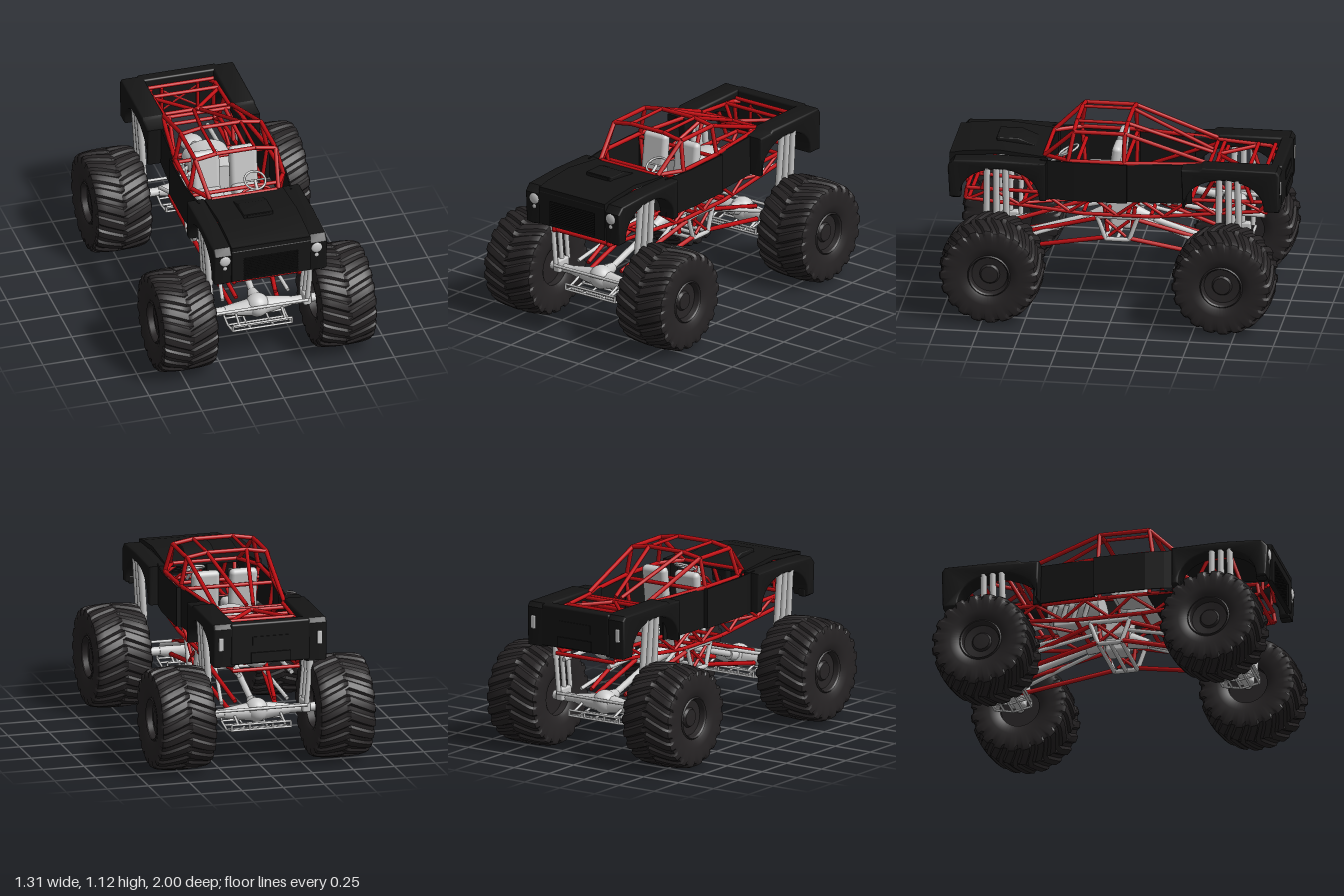
import * as THREE from 'three';
import { toCreasedNormals } from 'three/addons/utils/BufferGeometryUtils.js';
import { RoundedBoxGeometry } from 'three/addons/geometries/RoundedBoxGeometry.js';

const paint = (color) => new THREE.MeshStandardMaterial({ color, side: THREE.DoubleSide });
const BLACK = paint(0x151515), RUBBER = paint(0x272425), RED = paint(0xc00d12), GREY = paint(0xcccccc);
const V = (p) => new THREE.Vector3(...p);

export function createModel() {
  const model = new THREE.Group();
  const add = (name, geo, mat, pos = [0, 0, 0], parent = model) => {
    const m = new THREE.Mesh(geo, mat);
    m.name = name;
    m.position.set(...pos);
    parent.add(m);
    return m;
  };
  const box = (name, size, pos, mat, r = 0) => add(name,
    r ? new RoundedBoxGeometry(...size, 3, r) : new THREE.BoxGeometry(...size), mat, pos);
  // Round bar between two points
  const bar = (name, a, b, r, mat, r2 = r) => {
    const d = V(b).sub(V(a));
    const m = add(name, new THREE.CylinderGeometry(r2, r, d.length(), 10), mat);
    m.position.copy(V(a)).addScaledVector(d, 0.5);
    m.quaternion.setFromUnitVectors(new THREE.Vector3(0, 1, 0), d.normalize());
  };
  const flip = ([x, y, z]) => [-x, y, z];
  // Chain of bars, mirrored to both sides
  const chain = (name, pts, r = 0.012, mat = RED) => {
    for (let i = 1; i < pts.length; i++) {
      bar(name, pts[i - 1], pts[i], r, mat);
      bar(name, flip(pts[i - 1]), flip(pts[i]), r, mat);
    }
  };
  const cross = (name, x, y, z, r = 0.012, mat = RED) => bar(name, [-x, y, z], [x, y, z], r, mat);
  // Side outline of [z, y] points extruded from x0 to x1
  const slab = (name, pts, x0, x1, bevel = 0) => {
    const shape = new THREE.Shape(pts.map(([z, y]) => new THREE.Vector2(-z, y)));
    const geo = new THREE.ExtrudeGeometry(shape, { depth: x1 - x0 - 2 * bevel, bevelEnabled: bevel > 0,
      bevelSize: bevel, bevelOffset: -bevel, bevelThickness: bevel, bevelSegments: 3 });
    geo.translate(0, 0, x0 + bevel).rotateY(Math.PI / 2);
    add(name, toCreasedNormals(geo, 0.6), BLACK);
  };

  // ---- Tyres with chevron lugs, and dished rims
  const half = [[0.145, 0.118], [0.16, 0.14], [0.169, 0.18], [0.17, 0.22], [0.168, 0.25], [0.16, 0.272],
    [0.145, 0.281], [0.115, 0.286], [0.08, 0.289], [0.045, 0.291], [0.012, 0.292]];
  const profile = [...half.map(([a, r]) => [-a, r]), ...half.slice().reverse()];
  const PER = 7, SEG = 20 * PER;
  const tyre = new THREE.LatheGeometry(profile.map(([a, r]) => new THREE.Vector2(r, a)), SEG);
  const pos = tyre.attributes.position;
  for (let j = 0; j <= SEG; j++) profile.forEach(([a, r], i) => {
    const lug = r > 0.24 && (j + (a > 0 ? 3 : 0)) % PER < 4;
    const R = r + (lug ? 0.014 : 0);
    const phi = j / SEG * Math.PI * 2 + 0.24 * Math.abs(a) / 0.17;
    pos.setXYZ(j * profile.length + i, R * Math.sin(phi), a + (lug && r < 0.275 ? Math.sign(a) * 0.003 : 0), R * Math.cos(phi));
  });
  const tyreGeo = toCreasedNormals(tyre.rotateZ(Math.PI / 2), 0.5);
  const rimGeo = toCreasedNormals(new THREE.LatheGeometry([[0, -0.1], [0.12, -0.1], [0.128, -0.15], [0.128, 0.15], [0.12, 0.158],
    [0.112, 0.15], [0.105, 0.12], [0.06, 0.115], [0.05, 0.13], [0, 0.132]].map((p) => new THREE.Vector2(...p)), 40)
    .rotateZ(-Math.PI / 2), 0.5);
  for (const z of [0.7, -0.675]) for (const s of [1, -1]) {
    add('tyre', tyreGeo, RUBBER, [s * 0.483, 0.308, z]);
    add('rim', rimGeo, RUBBER, [s * 0.483, 0.308, z]).rotation.y = s > 0 ? 0 : Math.PI;
  }

  // ---- Axles, shocks, links and skid frames, front and rear
  for (const [az, s] of [[0.7, 1], [-0.675, -1]]) {
    cross('axleTube', 0.36, 0.31, az, 0.027, GREY);
    for (const k of [1, -1]) {
      bar('axleHousing', [k * 0.04, 0.31, az], [k * 0.2, 0.31, az], 0.055, GREY, 0.03);
      box('knuckle', [0.05, 0.08, 0.1], [k * 0.295, 0.33, az], GREY, 0.012);
    }
    add('differential', new THREE.SphereGeometry(0.072, 24, 16), GREY, [0, 0.318, az]);
    bar('pinion', [0, 0.33, az], [0, 0.345, az - s * 0.11], 0.055, GREY, 0.03);
    cross('steeringRod', 0.29, 0.345, az + s * 0.075, 0.009, GREY);
    bar('driveshaft', [0, 0.345, az - s * 0.1], [0, 0.5, s * 0.1], 0.02, GREY);
    bar('driveshaftJoint', [0, 0.47, s * 0.19], [0, 0.505, s * 0.08], 0.03, GREY, 0.05);
    for (const dz of [-0.06, 0, 0.06]) {
      chain('shockBody', [[0.29, 0.35, az + dz], [0.312, 0.6, az + dz]], 0.015, GREY);
      chain('shockSleeve', [[0.308, 0.55, az + dz], [0.328, 0.87, az + dz * 0.9]], 0.02, GREY);
    }
    chain('lowerLink', [[0.2, 0.42, s * 0.07], [0.14, 0.3, az - s * 0.05]], 0.014);
    chain('upperLink', [[0.2, 0.55, s * 0.07], [0.12, 0.37, az - s * 0.03]], 0.013);
    chain('supportLink', [[0.1, 0.53, s * 0.08], [0.2, 0.36, az - s * 0.04]], 0.012, GREY);
    // Skid frame under the axle
    for (const dz of [-0.11, -0.055, 0, 0.055, 0.11]) cross('skidBar', 0.18, 0.21 + Math.abs(dz) * 0.2, az + dz, 0.007, GREY);
    for (const x of [0.18, 0.07]) {
      chain('skidRail', [[x, 0.232, az - 0.11], [x, 0.21, az], [x, 0.232, az + 0.11]], 0.007, GREY);
      chain('skidPost', [[x, 0.26, az - 0.11], [x, 0.232, az - 0.11]], 0.007, GREY);
    }
    for (const dz of [-0.11, 0.11]) {
      cross('skidTopBar', 0.18, 0.265, az + dz, 0.007, GREY);
      chain('skidUpright', [[0.18, 0.265, az + dz], [0.18, 0.23, az + dz]], 0.007, GREY);
      chain('skidHanger', [[0.14, 0.265, az + dz], [0.14, 0.31, az]], 0.008, GREY);
    }
  }

  // ---- Transfer case and its cradle
  box('transferCase', [0.18, 0.15, 0.17], [0, 0.58, 0], GREY, 0.02);
  box('transferCaseLower', [0.12, 0.12, 0.13], [0, 0.48, 0], GREY, 0.02);
  chain('cradle', [[0.2, 0.55, 0.12], [0.2, 0.41, 0.07], [0.2, 0.41, -0.07], [0.2, 0.55, -0.12], [0.2, 0.55, 0.12]], 0.014, GREY);
  chain('cradleBrace', [[0.2, 0.53, 0.07], [0.2, 0.43, -0.05]], 0.01);
  chain('cradleBrace', [[0.2, 0.53, -0.07], [0.2, 0.43, 0.05]], 0.01);
  for (const z of [-0.07, 0, 0.07]) cross('cradleCrossbar', 0.2, 0.41, z, 0.012, GREY);
  for (const z of [-0.09, 0.09]) chain('cradlePost', [[0.1, 0.58, z], [0.1, 0.42, z * 0.8]]);

  // ---- Engine and exhaust
  const block = add('engine', new THREE.CylinderGeometry(0.14, 0.14, 0.31, 28).rotateX(Math.PI / 2), GREY, [0, 0.71, -0.24]);
  block.scale.y = 0.65;
  box('oilPan', [0.18, 0.06, 0.26], [0, 0.63, -0.24], GREY, 0.015);
  for (let i = 0; i < 4; i++) chain('exhaustHeader', [[0.11, 0.72, -0.14 - i * 0.065], [0.155, 0.7, -0.14 - i * 0.065], [0.14, 0.62, -0.17 - i * 0.065]], 0.014, GREY);
  bar('gearboxShaft', [0, 0.68, -0.38], [0, 0.64, -0.6], 0.025, GREY);
  const fan = add('rearHousing', new THREE.SphereGeometry(0.07, 20, 14), GREY, [0, 0.62, -0.67]);
  fan.scale.y = 0.6;
  chain('exhaustPipe', [[0.14, 0.63, -0.35], [0.16, 0.6, -0.6], [0.16, 0.59, -0.87]], 0.014, GREY);

  // ---- Tubular chassis
  chain('chassisUpperRail', [[0.2, 0.69, 0.89], [0.22, 0.69, 0.43], [0.25, 0.68, 0], [0.22, 0.69, -0.45], [0.2, 0.69, -0.89]]);
  chain('chassisLowerRail', [[0.2, 0.69, 0.89], [0.2, 0.625, 0.9], [0.21, 0.6, 0.56], [0.22, 0.57, 0.2], [0.22, 0.57, -0.2], [0.21, 0.6, -0.52], [0.2, 0.63, -0.84], [0.2, 0.69, -0.89]]);
  for (const s of [1, -1]) {
    chain('chassisTruss', [[0.2, 0.625, s * 0.87], [0.21, 0.69, s * 0.74], [0.21, 0.605, s * 0.58], [0.22, 0.69, s * 0.44],
      [0.22, 0.58, s * 0.28], [0.24, 0.68, s * 0.14], [0.22, 0.57, 0]], 0.01);
    for (const [y, z] of [[0.69, 0.89], [0.625, 0.88], [0.6, 0.56], [0.69, 0.44], [0.57, 0.2], [0.57, 0.06]]) cross('chassisCrossbar', 0.205, y, s * z);
    chain('chassisFloorBrace', [[0.2, 0.61, s * 0.56], [0, 0.58, s * 0.2]], 0.01);
    chain('chassisEndBrace', [[0.11, 0.69, s * 0.9], [0.11, 0.87, s * 0.9]], 0.01);
    chain('chassisEndCross', [[0.11, 0.71, s * 0.92], [-0.11, 0.85, s * 0.92]], 0.01);
    chain('shockTower', [[0.21, 0.69, s * 0.8], [0.23, 0.87, s * 0.74], [0.23, 0.87, s * 0.6], [0.21, 0.69, s * 0.5]]);
    cross('shockTowerCrossbar', 0.23, 0.87, s * 0.6);
  }

  // ---- Roll cage
  for (const z of [0.25, -0.05]) {
    chain('roofHoop', [[0, 1.112, z], [0.12, 1.112, z], [0.245, 1.09, z]], 0.013);
    chain('beltPost', [[0.285, 0.92, z * 1.1], [0.25, 0.68, z]]);
  }
  chain('roofRail', [[0.245, 1.09, 0.25], [0.245, 1.09, -0.05]], 0.013);
  chain('roofBrace', [[0.12, 1.112, 0.25], [0.12, 1.112, -0.05]], 0.01);
  chain('windscreenPillar', [[0.245, 1.09, 0.25], [0.21, 0.92, 0.43]], 0.013);
  chain('frontPillar', [[0.245, 1.09, 0.25], [0.285, 0.92, 0.28]], 0.013);
  chain('mainPillar', [[0.245, 1.09, -0.05], [0.28, 0.92, -0.05]], 0.013);
  chain('rearStay', [[0.24, 1.09, -0.05], [0.21, 0.92, -0.54]], 0.013);
  chain('rearStayBrace', [[0.12, 1.112, -0.05], [0.02, 0.92, -0.54]], 0.012);
  chain('beltRail', [[0.2, 0.92, 0.43], [0.285, 0.92, 0.27], [0.28, 0.92, -0.05], [0.215, 0.915, -0.54]], 0.013);
  chain('bedRail', [[0.2, 0.915, -0.54], [0.2, 0.89, -0.85], [0.18, 0.88, -0.89]]);
  chain('bedDrop', [[0.2, 0.89, -0.86], [0.2, 0.69, -0.89]]);
  chain('bedInnerRail', [[0.25, 0.7, -0.08], [0.17, 0.9, -0.54]]);
  chain('bedBrace', [[0.19, 0.89, -0.77], [0, 0.9, -0.57]]);
  for (const z of [-0.54, -0.58, -0.78, -0.88]) cross('bedCrossbar', 0.2, 0.9, z);
  cross('cabCrossbar', 0.28, 0.9, -0.05);
  cross('dashBar', 0.28, 0.85, 0.25);
  cross('cowlBar', 0.2, 0.92, 0.43);

  // ---- Cab interior
  box('footwell', [0.48, 0.012, 0.22], [0, 0.69, 0.34], BLACK);
  for (const x of [-0.115, 0.115]) {
    box('seatCushion', [0.17, 0.08, 0.2], [x, 0.72, 0.13], GREY, 0.03);
    box('seatBack', [0.17, 0.29, 0.06], [x, 0.84, 0.02], GREY, 0.028).rotation.x = -0.12;
  }
  const wheel = add('steeringWheel', new THREE.TorusGeometry(0.062, 0.007, 8, 28), GREY, [0.105, 0.92, 0.3]);
  wheel.rotation.x = -1.1;
  cross('spoke', 0.06, 0, 0, 0.006, GREY);
  wheel.add(model.children[model.children.length - 1]);
  bar('steeringColumn', [0.105, 0.92, 0.3], [0.105, 0.82, 0.43], 0.01, GREY);
  const hoop = new THREE.CatmullRomCurve3([[0, 0.8, 0.42], [0, 0.86, 0.36], [0.04, 0.88, 0.33], [0.17, 0.88, 0.33], [0.2, 0.85, 0.35]].map(V));
  add('dashHoop', new THREE.TubeGeometry(hoop, 24, 0.008, 8), RED);

  // ---- Bodywork: flares with wheel arches
  const arch = (c) => Array.from({ length: 21 }, (_, i) => {
    const t = Math.PI * i / 20;
    return [c - 0.235 * Math.cos(t), 0.68 + 0.185 * Math.sin(t) ** 0.85];
  });
  const frontFlare = [...arch(0.68), [0.975, 0.68], [0.985, 0.87], [0.95, 0.91], [0.7, 0.922], [0.405, 0.915], [0.405, 0.68]];
  const rearFlare = [...arch(-0.65), [-0.405, 0.68], [-0.395, 0.92], [-0.5, 0.925], [-0.52, 0.938], [-0.96, 0.938], [-0.98, 0.91], [-0.975, 0.68]];
  for (const s of [1, -1]) {
    const range = (a, b) => (s > 0 ? [a, b] : [-b, -a]);
    slab('frontFlare', frontFlare, ...range(0.235, 0.345), 0.012);
    slab('rearFlare', rearFlare, ...range(0.21, 0.345), 0.012);
    // Door and bed side as thin upright panels following a plan line [x, z]
    for (const [name, plan] of [['door', [[0.285, 0.45], [0.3, 0.35], [0.312, 0.24], [0.312, -0.07], [0.28, -0.07]]],
      ['bedSide', [[0.285, -0.07], [0.275, -0.25], [0.26, -0.45]]]]) {
      const inner = plan.slice().reverse().map(([x, z]) => [x - 0.008, z]);
      const shape = new THREE.Shape([...plan, ...inner].map(([x, z]) => new THREE.Vector2(s * x, -z)));
      add(name, new THREE.ExtrudeGeometry(shape, { depth: 0.24, bevelEnabled: false }).rotateX(-Math.PI / 2), BLACK, [0, 0.68, 0]);
    }
    // Lamps
    const lamp = (name, r, y) => add(name, new THREE.SphereGeometry(r, 20, 12), GREY, [s * 0.28, y, 0.982]).scale.z = 0.35;
    lamp('headlight', 0.034, 0.835);
    lamp('indicator', 0.013, 0.785);
    box('tailLight', [0.03, 0.08, 0.02], [s * 0.3, 0.82, -0.975], GREY, 0.006);
    box('bumperCorner', [0.05, 0.05, 0.06], [s * 0.3, 0.695, 0.94], BLACK, 0.01);
  }

  // ---- Hood, scoop, grille and tailgate
  slab('hood', [[0.99, 0.89], [0.975, 0.92], [0.9, 0.935], [0.7, 0.95], [0.42, 0.92], [0.42, 0.9], [0.7, 0.925], [0.96, 0.9]], -0.24, 0.24);
  slab('hoodScoop', [[0.73, 0.93], [0.73, 0.97], [0.6, 0.97], [0.5, 0.93]], -0.09, 0.09, 0.006);
  box('scoopMouth', [0.14, 0.02, 0.01], [0, 0.955, 0.728], BLACK);
  const panel = new THREE.Shape([[-0.24, 0.69], [0.24, 0.69], [0.24, 0.92], [-0.24, 0.92]].map((p) => new THREE.Vector2(...p)));
  panel.holes.push(new THREE.Path([[-0.165, 0.7], [-0.165, 0.845], [0.165, 0.845], [0.165, 0.7]].map((p) => new THREE.Vector2(...p))));
  add('frontPanel', new THREE.ExtrudeGeometry(panel, { depth: 0.03, bevelEnabled: false }), BLACK, [0, 0, 0.958]);
  for (let i = 0; i < 13; i++) box('grilleSlat', [0.33, 0.006, 0.012], [0, 0.706 + i * 0.011, 0.975], BLACK);
  box('tailgate', [0.48, 0.25, 0.07], [0, 0.813, -0.947], BLACK, 0.012);
  box('tailgateHandle', [0.22, 0.05, 0.01], [0, 0.83, -0.982], BLACK);
  box('rearPlate', [0.24, 0.06, 0.008], [0, 0.73, -0.99], BLACK);
  return model;
}
